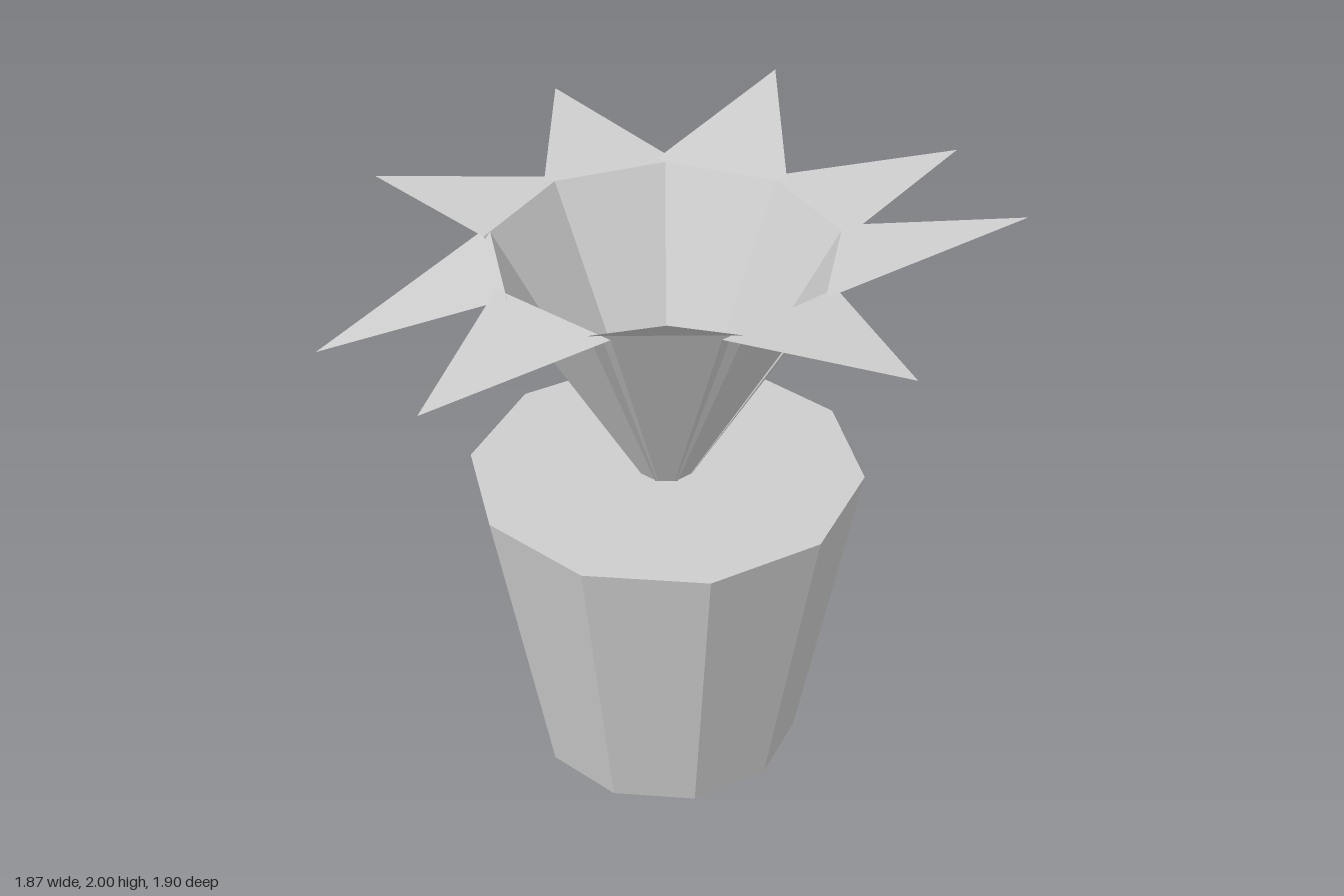
import * as THREE from 'three';

const CENTRE_X = -0.03;
const POT_HEIGHT = 0.935;

// One leaf pointing along +x: a tapered blade that bends outward into a pointed tip.
function leafGeometry(tipHeight) {
  const baseL = [0.07, 0.925, -0.03], baseR = [0.07, 0.925, 0.03];
  const bendL = [0.46, 1.66, -0.2], bendR = [0.46, 1.66, 0.2];
  const tip = [0.965, tipHeight, 0];
  const faces = [baseL, baseR, bendR, baseL, bendR, bendL, bendL, bendR, tip];
  const geometry = new THREE.BufferGeometry();
  geometry.setAttribute('position', new THREE.Float32BufferAttribute(faces.flat(), 3));
  geometry.computeVertexNormals();
  return geometry;
}

export function createModel() {
  const model = new THREE.Group();
  model.name = 'pottedPlant';

  const grey = new THREE.MeshStandardMaterial({ color: 0xcccccc, flatShading: true, side: THREE.DoubleSide });
  grey.name = 'light grey';

  // Ten-sided tapered pot with a corner on the x axis
  const pot = new THREE.Mesh(
    new THREE.CylinderGeometry(0.57, 0.39, POT_HEIGHT, 10, 1, false, Math.PI / 2), grey);
  pot.name = 'pot';
  pot.position.set(CENTRE_X, POT_HEIGHT / 2, 0);
  model.add(pot);

  // Ring of nine leaves, each with its own tip height
  const leaves = new THREE.Group();
  leaves.name = 'leaves';
  leaves.position.x = CENTRE_X;
  const tipHeights = [1.7, 1.84, 1.7, 2.0, 1.6, 1.43, 1.62, 1.69, 1.75];
  tipHeights.forEach((height, i) => {
    const leaf = new THREE.Mesh(leafGeometry(height), grey);
    leaf.name = `leaf${i + 1}`;
    leaf.rotation.y = -i * Math.PI * 2 / tipHeights.length;
    leaves.add(leaf);
  });
  model.add(leaves);

  return model;
}
